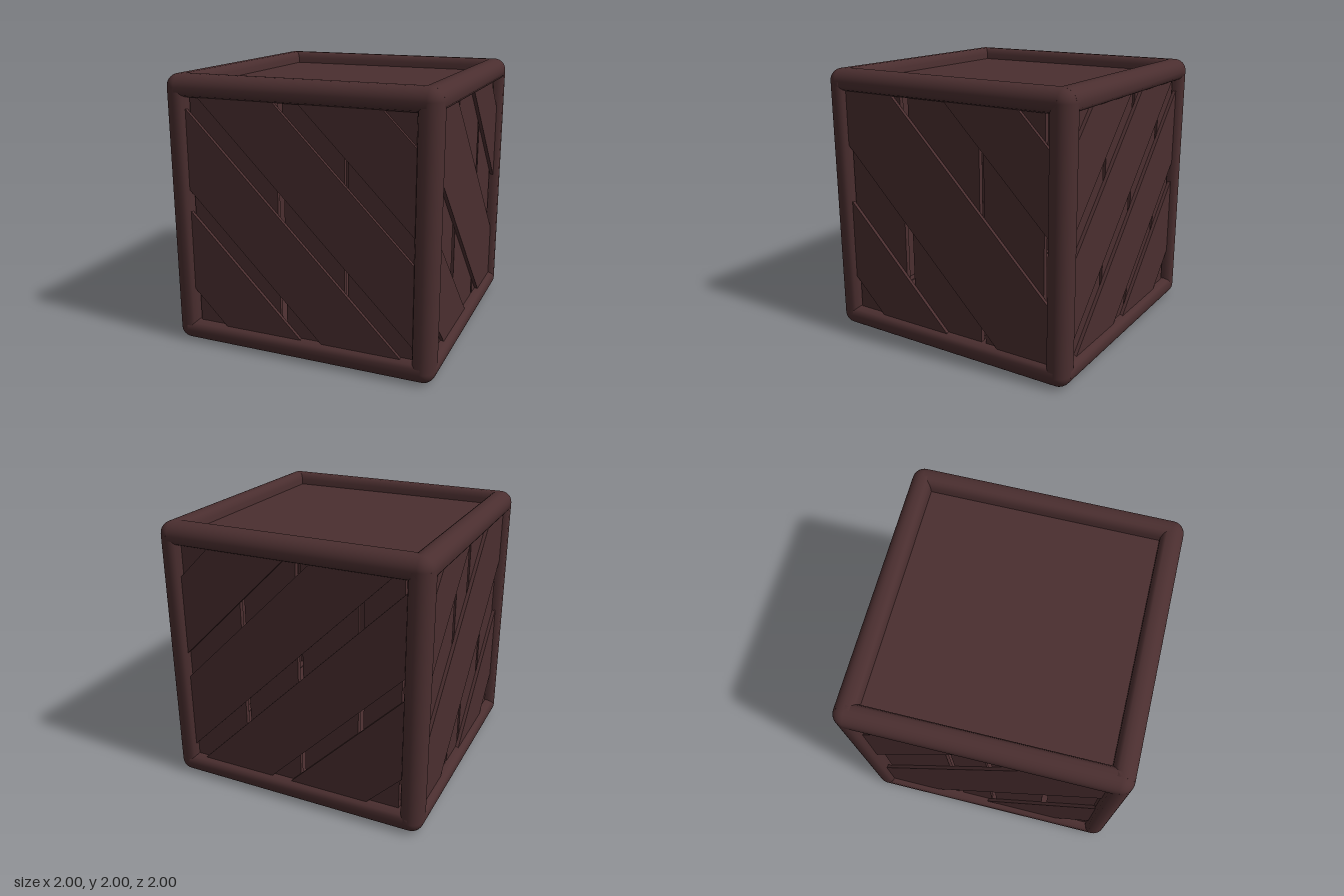
import * as THREE from 'three';
import { toCreasedNormals } from 'three/addons/utils/BufferGeometryUtils.js';

const wood = new THREE.MeshStandardMaterial({ color: 0x4a2e2f });
wood.name = 'darkWood';

const R = 0.09;           // rounding of the outer frame edges
const C = 1 - R;          // centre of that rounding
const E = 0.845;          // half size of the wall infill

function add(parent, name, geometry, x = 0, y = 0, z = 0) {
  const mesh = new THREE.Mesh(geometry, wood);
  mesh.name = name;
  mesh.position.set(x, y, z);
  parent.add(mesh);
  return mesh;
}

// Frame bar: rounded outer edge, straight inner sides with a small shoulder
function barGeometry() {
  const s = new THREE.Shape();
  s.moveTo(0.84, 0.84);
  s.lineTo(0.95, 0.84);
  s.lineTo(0.985, 0.855);
  s.lineTo(1, 0.875);
  s.lineTo(1, C);
  s.absarc(C, C, R, 0, Math.PI / 2, false);
  s.lineTo(0.875, 1);
  s.lineTo(0.855, 0.985);
  s.lineTo(0.84, 0.95);
  s.closePath();
  const g = new THREE.ExtrudeGeometry(s, { depth: 2 * C, bevelEnabled: false, curveSegments: 8 });
  g.translate(0, 0, -C);
  return toCreasedNormals(g, 0.7);
}

// Keep the part of a polygon where sign * (u + v - s) >= 0
function clip(points, s, sign) {
  const out = [];
  points.forEach((a, i) => {
    const b = points[(i + 1) % points.length];
    const da = sign * (a.x + a.y - s);
    const db = sign * (b.x + b.y - s);
    if (da >= 0) out.push(a);
    if (da * db < 0) out.push(a.clone().lerp(b, da / (da - db)));
  });
  return out;
}

// Diagonal plank between the lines u + v = s0 and u + v = s1, trimmed to the opening
function plankGeometry(s0, s1) {
  const square = [[-E, -E], [E, -E], [E, E], [-E, E]].map(p => new THREE.Vector2(...p));
  const shape = new THREE.Shape(clip(clip(square, s0 - 1, 1), s1 - 1, -1));
  return new THREE.ExtrudeGeometry(shape, { depth: 0.025, bevelEnabled: false });
}

// One side wall: upright boards inside, diagonal planks outside
function makeWall(name, side, turn, boards, planks) {
  const wall = new THREE.Group();
  wall.name = name;
  wall.position.y = 1;
  wall.rotation.y = turn;
  for (const [a, b] of boards) {
    add(wall, 'uprightBoard', new THREE.BoxGeometry(b - a, 2 * E, 0.035), (a + b) / 2, 0, side * 0.9175);
  }
  for (const [s0, s1] of planks) {
    add(wall, 'diagonalPlank', plankGeometry(s0, s1), 0, 0, side > 0 ? 0.935 : -0.96);
  }
  return wall;
}

export function createModel() {
  const crate = new THREE.Group();
  crate.name = 'crate';

  // Frame: four bars along each axis and a ball at each corner
  const frame = new THREE.Group();
  frame.name = 'frame';
  frame.position.y = 1;
  crate.add(frame);
  const bar = barGeometry();
  const turns = { sideBars: [0, 0], crossBars: [0, Math.PI / 2], uprightBars: [Math.PI / 2, 0] };
  for (const [name, [rx, ry]] of Object.entries(turns)) {
    const set = new THREE.Group();
    set.name = name;
    set.rotation.set(rx, ry, 0);
    frame.add(set);
    for (let k = 0; k < 4; k++) add(set, 'bar', bar).rotation.z = k * Math.PI / 2;
  }
  const ball = new THREE.SphereGeometry(R, 32, 16);
  for (const x of [-C, C]) {
    for (const y of [-C, C]) {
      for (const z of [-C, C]) add(frame, 'cornerBall', ball, x, y, z);
    }
  }

  // Lid and floor, set just below the frame faces
  const panel = new THREE.BoxGeometry(1.7, 0.06, 1.7);
  add(crate, 'lidPanel', panel, 0, 1.878, 0);
  add(crate, 'floorPanel', panel, 0, 0.122, 0);

  // Four walls; opposite walls share the diagonal layout
  const narrowPlanks = [[-0.43, 0.17], [0.33, 0.915], [1.1, 1.68], [1.87, 2.46]];
  const widePlanks = [[-0.43, 0.17], [0.6, 1.42], [1.88, 2.46]];
  crate.add(
    makeWall('frontWall', 1, 0, [[-0.82, -0.15], [-0.1, 0.345], [0.37, E]], narrowPlanks),
    makeWall('backWall', -1, 0, [[-0.82, -0.55], [-0.51, -0.095], [-0.055, 0.347], [0.385, E]], narrowPlanks),
    makeWall('rightWall', 1, Math.PI / 2, [[-0.83, -0.36], [-0.29, 0.3], [0.335, 0.8]], widePlanks),
    makeWall('leftWall', -1, Math.PI / 2, [[-0.83, -0.48], [-0.44, -0.06], [-0.02, 0.23], [0.27, 0.8]], widePlanks),
  );
  return crate;
}
